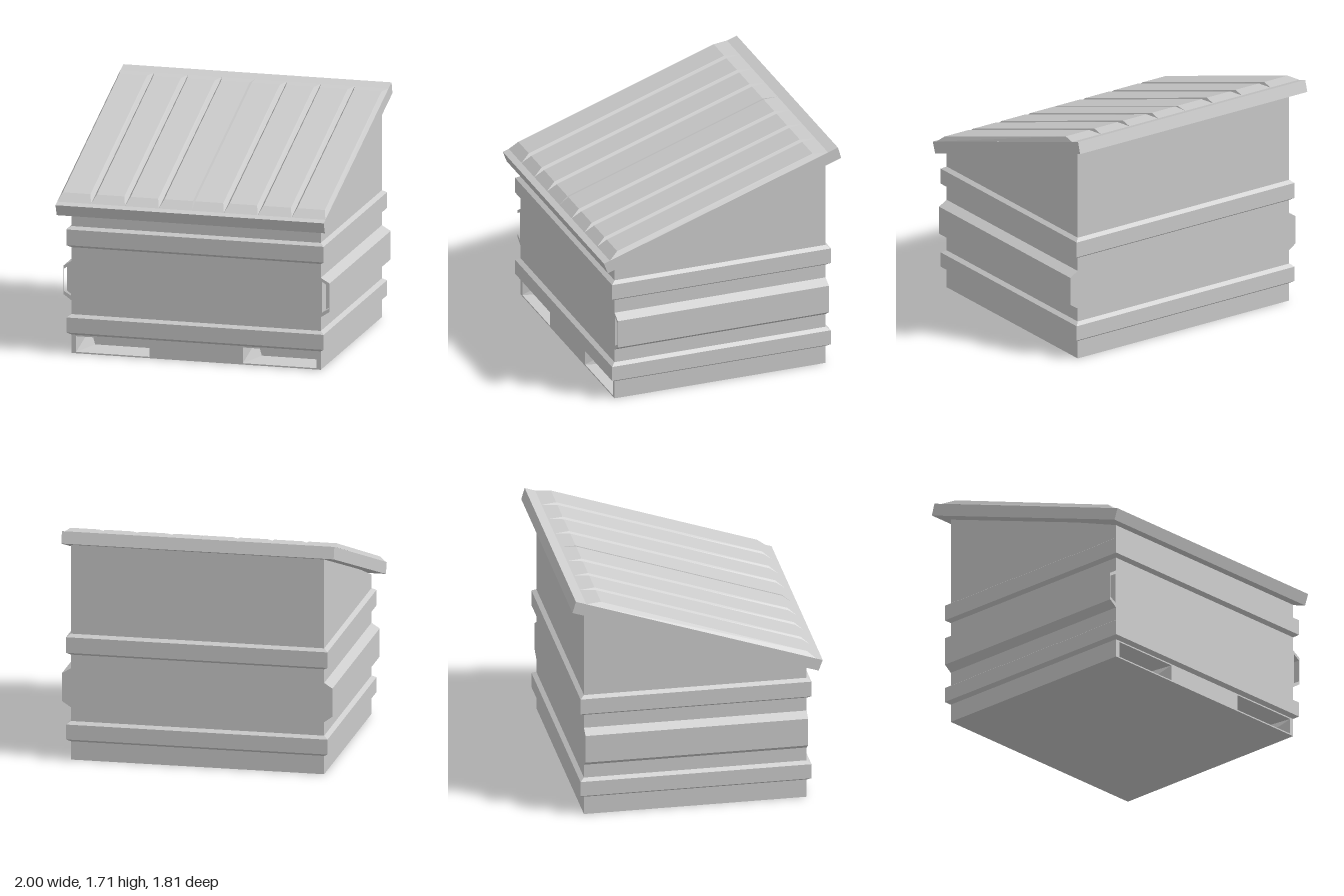
import * as THREE from 'three';

const X0 = -0.91, X1 = 0.93, Z0 = -0.80, Z1 = 0.81; // body footprint

const material = new THREE.MeshStandardMaterial({ color: 0xcccccc, flatShading: true });

function mesh(name, geometry) {
  const m = new THREE.Mesh(geometry, material);
  m.name = name;
  return m;
}

// Rectangular ring, front edge at height yf and back edge at height yb
const ring = (x0, x1, zf, zb, yf, yb = yf) =>
  [[x0, yf, zf], [x1, yf, zf], [x1, yb, zb], [x0, yb, zb]];

// Closed solid through a stack of four-cornered rings
function loft(rings) {
  const pos = [];
  const quad = (a, b, c, d) => pos.push(...a, ...b, ...c, ...a, ...c, ...d);
  for (let k = 0; k < rings.length - 1; k++) {
    const a = rings[k], b = rings[k + 1];
    for (let i = 0; i < 4; i++) {
      const j = (i + 1) % 4;
      quad(a[i], a[j], b[j], b[i]);
    }
  }
  quad(...[...rings[0]].reverse());
  quad(...rings[rings.length - 1]);
  const g = new THREE.BufferGeometry();
  g.setAttribute('position', new THREE.Float32BufferAttribute(pos, 3));
  g.computeVertexNormals();
  return g;
}

const vectors = (points) => points.map(([x, y]) => new THREE.Vector2(x, y));

function extrude(outline, holes, zBack, depth) {
  const shape = new THREE.Shape(vectors(outline));
  for (const h of holes) shape.holes.push(new THREE.Path(vectors(h)));
  const g = new THREE.ExtrudeGeometry(shape, { depth, bevelEnabled: false });
  return g.translate(0, 0, zBack);
}

// Foot of the body with two tapering fork pockets in the front
function createBase() {
  const group = new THREE.Group();
  group.name = 'base';
  const top = 0.135, depth = 0.25, zBack = Z1 - depth;
  const pockets = [[-0.875, -0.335], [0.355, 0.9]];
  const holes = pockets.map(([a, b]) => [[a, 0.01], [a, 0.125], [b, 0.125], [b, 0.01]]);
  const g = extrude([[X0, 0], [X1, 0], [X1, top], [X0, top]], holes, zBack, depth);
  const p = g.attributes.position;
  for (let i = 0; i < p.count; i++) {
    if (p.getZ(i) > zBack + 0.01) continue;
    const x = p.getX(i), inset = p.getY(i) < 0.06 ? 0.07 : 0.035;
    for (const [a, b] of pockets) {
      if (Math.abs(x - a) < 1e-4) p.setX(i, a + inset);
      if (Math.abs(x - b) < 1e-4) p.setX(i, b - inset);
    }
  }
  g.computeVertexNormals();
  group.add(mesh('forkPockets', g));
  group.add(mesh('baseBlock', loft([ring(X0, X1, zBack, Z0, 0), ring(X0, X1, zBack, Z0, top)])));
  return group;
}

// Walls with two bevelled bands and a sloping top
function createBody() {
  const levels = [
    [0.135, 0], [0.155, 0.03], [0.265, 0.03], [0.285, 0],
    [0.775, 0], [0.795, 0.03], [0.91, 0.03], [0.93, 0],
  ];
  const rings = levels.map(([y, o]) => ring(X0 - o, X1 + o, Z1 + o, Z0 - o, y));
  rings.push(ring(X0, X1, Z1, Z0, 1.03, 1.63));
  return mesh('body', loft(rings));
}

// Lifting rail along one side, with a hollow at its front end
function createRail(name, wall, outer) {
  const group = new THREE.Group();
  group.name = name;
  const s = Math.sign(outer), hollow = 0.1;
  const outline = [[wall, 0.385], [outer, 0.428], [outer, 0.636], [wall, 0.674]];
  const a = outer - s * 0.004, b = outer - s * 0.055;
  const hole = [[b, 0.42], [a, 0.45], [a, 0.615], [b, 0.645]];
  group.add(mesh('railFrontEnd', extrude(outline, [hole], Z1 - hollow, hollow)));
  group.add(mesh('railBar', extrude(outline, [], Z0, Z1 - hollow - Z0)));
  return group;
}

// Tilted lid carrying raised panels separated by V-shaped grooves
function createLid() {
  const group = new THREE.Group();
  group.name = 'lid';
  const edges = [-1, -0.75, -0.5, -0.25, -0.008, 0.23, 0.48, 0.73, 0.98];
  group.add(mesh('lidSlab', loft([
    ring(-1, 0.98, 0.88, -0.90, 1.02, 1.62),
    ring(-1, 0.98, 0.91, -0.875, 1.10, 1.705),
  ])));
  const inset = (i) => (i === 4 ? 0.008 : 0.023); // the middle groove is narrower
  for (let i = 0; i < 8; i++) {
    const l = edges[i], r = edges[i + 1];
    group.add(mesh('lidPanel', loft([
      ring(l, r, 0.865, -0.80, 1.115, 1.68),
      ring(l + inset(i), r - inset(i + 1), 0.80, -0.69, 1.17, 1.68),
    ])));
  }
  return group;
}

export function createModel() {
  const model = new THREE.Group();
  model.name = 'storageBin';
  model.add(
    createBase(),
    createBody(),
    createRail('leftRail', X1, 0.995),
    createRail('rightRail', X0, -0.97),
    createLid(),
  );
  return model;
}
